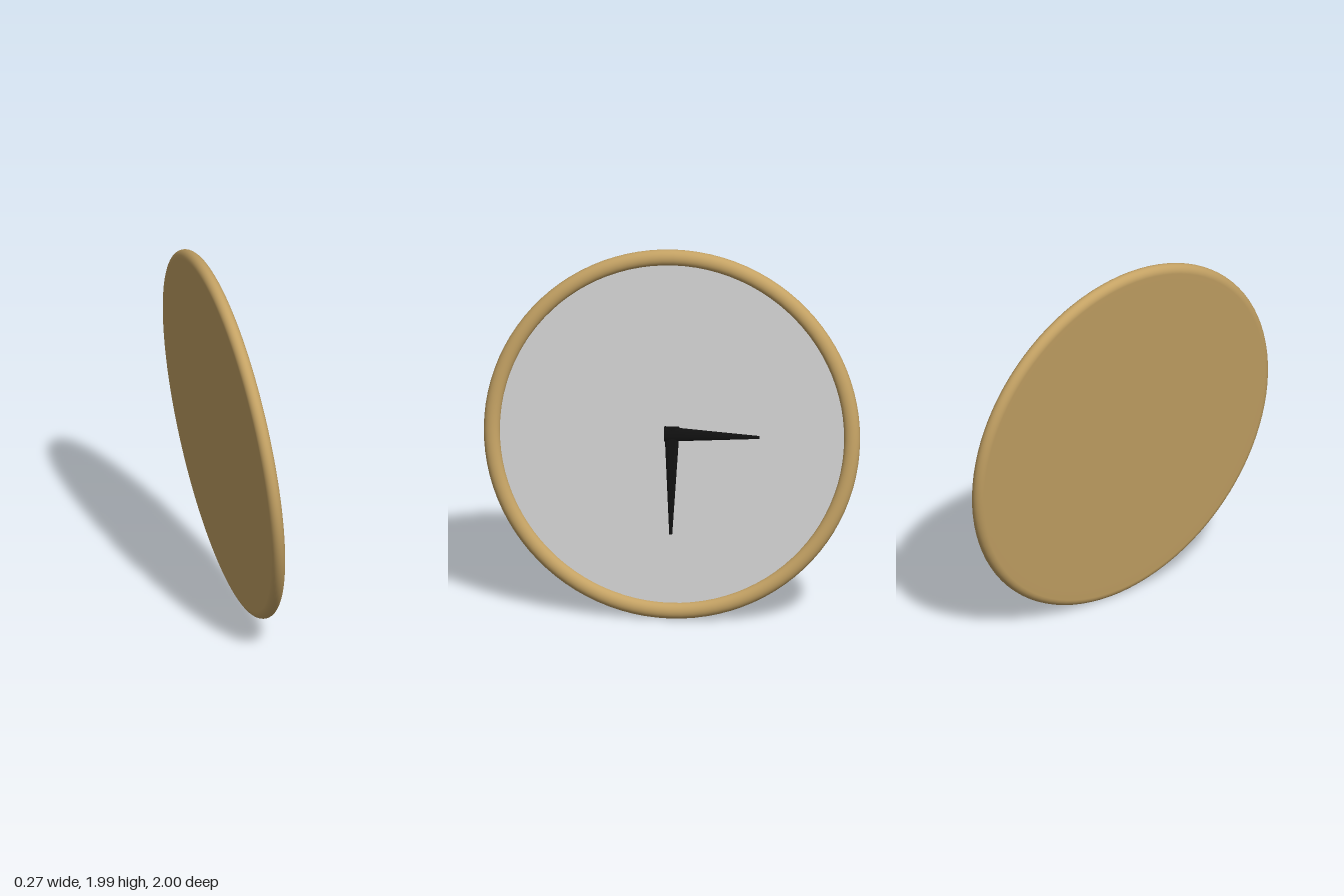
import * as THREE from 'three';

const wood = new THREE.MeshStandardMaterial({ color: 0xc4a264 });
wood.name = 'wood';
const grey = new THREE.MeshStandardMaterial({ color: 0xd2d2d2 });
grey.name = 'pale grey';
const black = new THREE.MeshStandardMaterial({ color: 0x111111 });
black.name = 'black';

const RIM = 0.9575; // middle radius of the rim
const HALF_WIDTH = 0.0425;
const HALF_DEPTH = 0.037;

function part(name, geometry, material) {
  const mesh = new THREE.Mesh(geometry, material);
  mesh.name = name;
  return mesh;
}

// Tapered, flattened hand lying on the dial and pointing along +x
function handGeometry(length) {
  const tail = 0.041;
  const g = new THREE.CylinderGeometry(0.008, 0.041, length + tail, 12);
  g.translate(0, (length - tail) / 2, 0);
  g.rotateZ(-Math.PI / 2);
  g.scale(1, 0.25, 1);
  return g;
}

export function createModel() {
  const model = new THREE.Group();
  model.name = 'wallClock';

  // Clock is built lying flat, facing +y, then tipped to face +x
  const clock = new THREE.Group();
  clock.name = 'clock';
  clock.rotation.z = THREE.MathUtils.degToRad(-84);
  clock.position.y = 0.995;
  model.add(clock);

  // Case: flat back running into a rounded rim
  const profile = [new THREE.Vector2(0, -HALF_DEPTH), new THREE.Vector2(0.9, -HALF_DEPTH)];
  const steps = 20;
  for (let i = 0; i <= steps; i++) {
    const a = -Math.PI / 2 + (i / steps) * Math.PI * 1.5;
    profile.push(new THREE.Vector2(RIM + HALF_WIDTH * Math.cos(a), HALF_DEPTH * Math.sin(a)));
  }
  clock.add(part('caseAndRim', new THREE.LatheGeometry(profile, 96), wood));

  // Dial
  const dial = new THREE.CircleGeometry(RIM - HALF_WIDTH + 0.002, 96);
  dial.rotateX(-Math.PI / 2);
  clock.add(part('dial', dial, grey));

  // Hands
  const longHand = part('longHand', handGeometry(0.543), black);
  longHand.position.y = 0.004;
  const shortHand = part('shortHand', handGeometry(0.466), black);
  shortHand.rotation.y = Math.PI / 2;
  shortHand.position.y = 0.006;
  clock.add(longHand, shortHand);

  return model;
}
